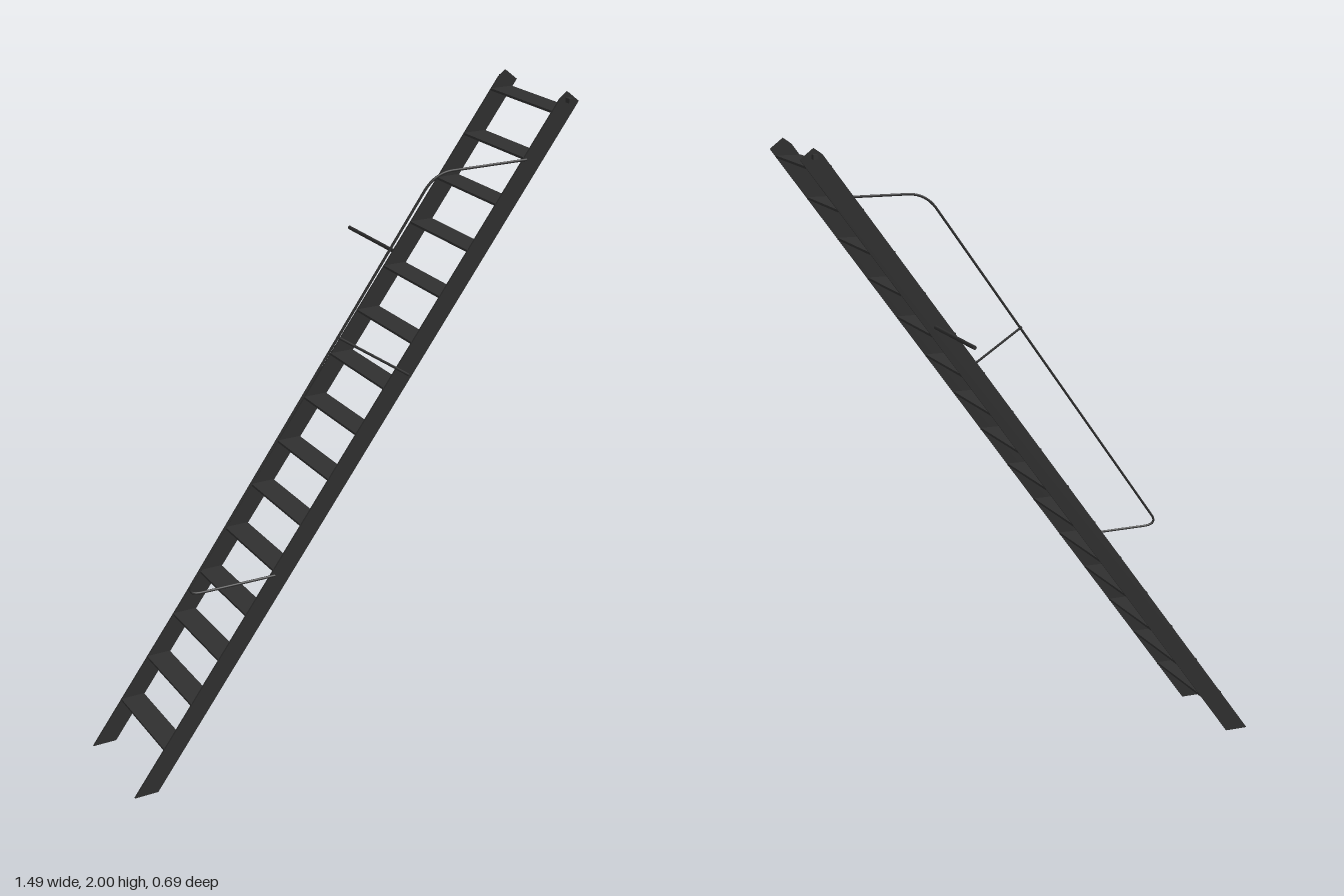
import * as THREE from 'three';

export function createModel() {
  const group = new THREE.Group();
  const metal = new THREE.MeshStandardMaterial({ color: 0x303030 });
  metal.name = 'dark metal';
  const add = (geometry, name) => {
    const mesh = new THREE.Mesh(geometry, metal);
    mesh.name = name;
    group.add(mesh);
    return mesh;
  };
  const v = (x, y, z) => new THREE.Vector3(x, y, z);
  const backZ = -0.012, frontZ = 0.318, plate = 0.006;
  const middleZ = (backZ + frontZ) / 2;

  // Sloping side plates with a level foot and a clipped top corner
  const outline = new THREE.Shape([
    [-0.75, 0], [-0.674, 0], [0.743, 1.968], [0.702, 2], [0.677, 1.982],
  ].map(([x, y]) => new THREE.Vector2(x, y)));
  for (const [z, name] of [[backZ, 'backStringer'], [frontZ, 'frontStringer']]) {
    const geometry = new THREE.ExtrudeGeometry(outline, { depth: plate, bevelEnabled: false });
    add(geometry, name).position.z = z - plate / 2;
  }

  // Flat treads
  const treadGeometry = new THREE.BoxGeometry(0.077, 0.007, frontZ - backZ);
  for (let i = 0; i < 15; i++) {
    add(treadGeometry, 'tread').position.set(-0.612 + i * 0.0928, 0.14 + i * 0.1289, middleZ);
  }

  // Short pegs at the top of each side plate
  for (const [z, name] of [[backZ - 0.011, 'backTopPeg'], [frontZ + 0.011, 'frontTopPeg']]) {
    add(new THREE.BoxGeometry(0.015, 0.014, 0.024), name).position.set(0.702, 1.976, z);
  }

  // Handrail with rounded corners
  const railZ = 0.323;
  const rail = new THREE.CurvePath();
  const upperA = v(0.31, 1.812, railZ), upperB = v(0.215, 1.762, railZ);
  const lowerA = v(-0.546, 0.679, railZ + 0.001), lowerB = v(-0.515, 0.643, railZ + 0.002);
  rail.add(new THREE.LineCurve3(v(0.565, 1.812, railZ), upperA));
  rail.add(new THREE.QuadraticBezierCurve3(upperA, v(0.25, 1.812, railZ), upperB));
  rail.add(new THREE.LineCurve3(upperB, lowerA));
  rail.add(new THREE.QuadraticBezierCurve3(lowerA, v(-0.573, 0.643, railZ + 0.002), lowerB));
  rail.add(new THREE.LineCurve3(lowerB, v(-0.275, 0.64, railZ)));
  add(new THREE.TubeGeometry(rail, 160, 0.004, 8), 'handrail');

  // Brace between handrail and side plate
  const brace = new THREE.LineCurve3(v(-0.07, 1.366, railZ), v(0.175, 1.203, railZ));
  add(new THREE.TubeGeometry(brace, 1, 0.004, 8), 'handrailBrace');

  // Bar reaching out from the back plate
  const bar = add(new THREE.CylinderGeometry(0.006, 0.006, 0.333, 12), 'backBar');
  bar.rotation.x = Math.PI / 2;
  bar.position.set(0.342, 1.455, -0.1785);

  return group;
}
